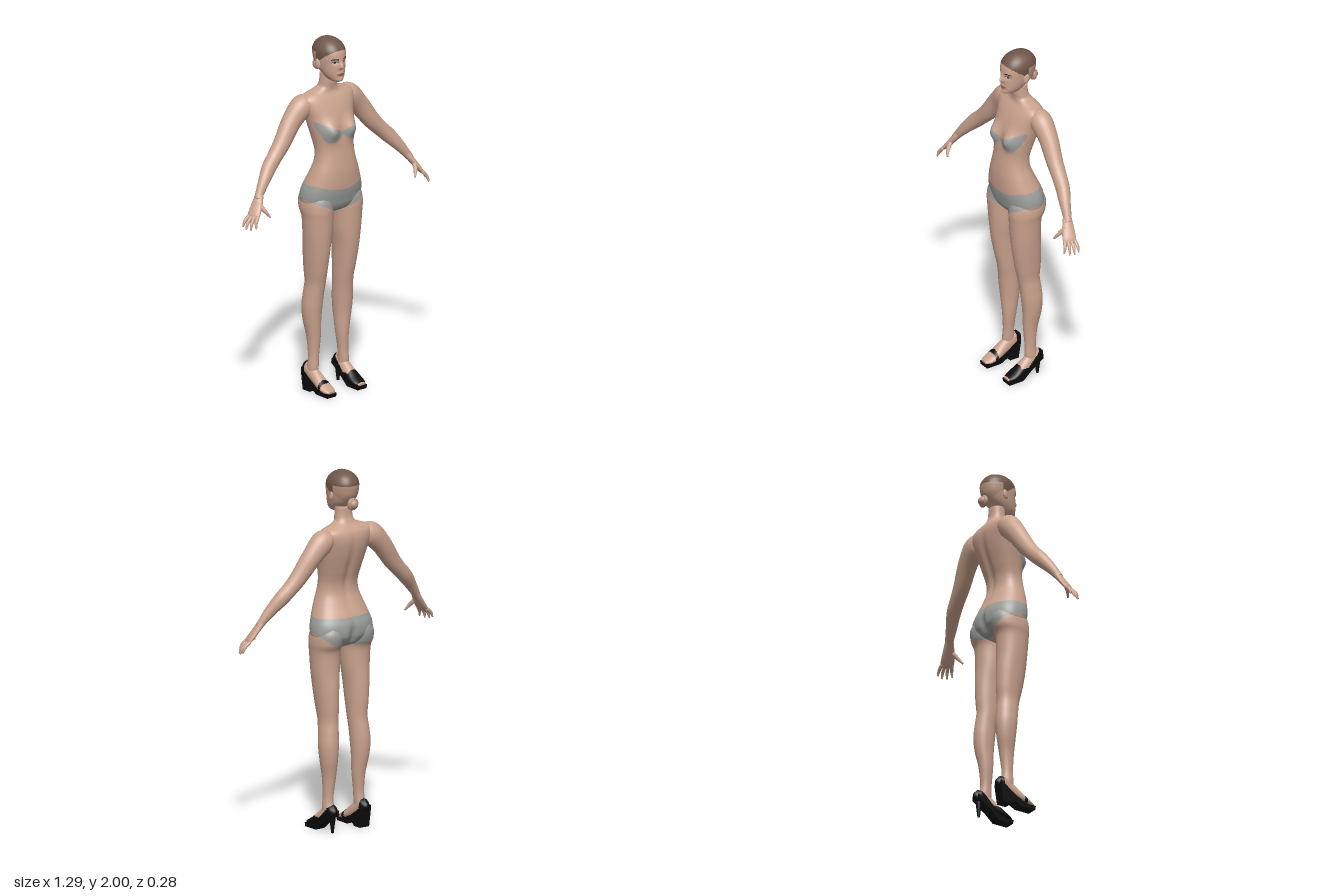
import * as THREE from 'three';

const mat = (name, color) => Object.assign(new THREE.MeshStandardMaterial({ color }), { name });
const SKIN = mat('skin', 0xcba38e), CLOTH = mat('greyCloth', 0x9b9e9b), HAIR = mat('hair', 0x70574a),
  PALE = mat('paleHair', 0xb8937f), BLACK = mat('blackShoe', 0x0c0c0c), WHITE = mat('eyeWhite', 0xd2c8c0),
  DARK = mat('irisAndBrow', 0x3a2c26), LIP = mat('lips', 0xa0655a);

const V = (x, y, z) => new THREE.Vector3(x, y, z);
const bell = (v, w) => Math.exp(-((v / w) ** 2));

// Smooth skin through rows of [x, y, z, radiusA, radiusB]; paint(p) picks the material of each face.
function loft(name, rows, { n = 24, steps = 40, side = V(1, 0, 0), axis, power = 2, warp, paint = () => SKIN } = {}) {
  const path = new THREE.CatmullRomCurve3(rows.map(r => V(r[0], r[1], r[2])), false, 'catmullrom');
  const size = new THREE.CatmullRomCurve3(rows.map(r => V(r[3], r[4], 0)), false, 'catmullrom');
  const pts = [], sp = v => Math.sign(v) * Math.abs(v) ** (2 / power);
  for (let i = 0; i <= steps; i++) {
    const c = path.getPoint(i / steps), s = size.getPoint(i / steps);
    const t = axis || path.getTangent(i / steps);
    const a = side.clone().addScaledVector(t, -side.dot(t)).normalize(), b = t.clone().cross(a);
    for (let j = 0; j < n; j++) {
      const q = j / n * Math.PI * 2;
      const p = c.clone().addScaledVector(a, sp(Math.cos(q)) * s.x).addScaledVector(b, sp(Math.sin(q)) * s.y);
      if (warp) warp(p);
      pts.push(p);
    }
  }
  pts.push(path.getPoint(0), path.getPoint(1));
  const buckets = new Map();
  const tri = (...f) => {
    const m = paint(V(0, 0, 0).add(pts[f[0]]).add(pts[f[1]]).add(pts[f[2]]).divideScalar(3));
    if (!buckets.has(m)) buckets.set(m, []);
    buckets.get(m).push(...f);
  };
  for (let j = 0; j < n; j++) {
    const k = (j + 1) % n, e = steps * n;
    for (let i = 0; i < e; i += n) {
      tri(i + j, i + k, i + n + k);
      tri(i + j, i + n + k, i + n + j);
    }
    tri(pts.length - 2, k, j);
    tri(pts.length - 1, e + j, e + k);
  }
  const g = new THREE.BufferGeometry().setFromPoints(pts), index = [];
  [...buckets.values()].forEach((f, i) => {
    g.addGroup(index.length, f.length, i);
    for (const v of f) index.push(v);
  });
  g.setIndex(index);
  g.computeVertexNormals();
  const mesh = new THREE.Mesh(g, [...buckets.keys()]);
  mesh.name = name;
  return mesh;
}

// Level cross-sections: [y, centreX, halfWidth, frontZ, backZ]
const level = rows => rows.map(([y, x, w, f, b]) => [x, y, (f + b) / 2, w, (f - b) / 2]);
const UP = V(0, 1, 0);

// Strapless top and briefs as regions of the body surface
function clothes(p) {
  const d = Math.abs(p.x);
  if (p.y > 1.4) {
    const low = d < 0.08 ? 1.432 + 0.04 * ((0.08 - d) / 0.08) ** 2 : 1.432 + 0.11 * ((d - 0.08) / 0.06) ** 2;
    return p.z > 0.02 && p.y > low && p.y < 1.485 + 0.5 * d ? CLOTH : SKIN;
  }
  const top = p.z > 0 ? 1.165 + 0.03 * Math.min(1, (d / 0.15) ** 2) : 1.195;
  const leg = p.z > 0 ? 1.035 + Math.max(0, d - 0.03) * 0.48 : 1.03 + 0.08 * (Math.max(0, d - 0.05) / 0.137) ** 2;
  return p.y < top && p.y > leg ? CLOTH : SKIN;
}

// Bust, spine groove and the cleft of the seat
function shapeTorso(p) {
  const d = Math.abs(p.x);
  if (p.z > 0) p.z += 0.036 * bell(d - 0.07, 0.042) * bell(p.y - 1.495, 0.05);
  else p.z += 0.024 * bell(d, 0.018) * bell(p.y - 1.09, 0.06) + 0.012 * bell(d, 0.022) * bell(p.y - 1.45, 0.16);
}

// Nose, eye sockets, lips and chin
function shapeFace(p) {
  if (p.z < 0.03) return;
  const d = Math.abs(p.x);
  p.z += 0.021 * bell(d, 0.012) * bell(p.y - 1.851, p.y > 1.851 ? 0.027 : 0.008)
    - 0.008 * bell(d - 0.032, 0.016) * bell(p.y - 1.878, 0.011)
    + 0.006 * bell(d, 0.02) * bell(p.y - 1.812, 0.009) + 0.004 * bell(d, 0.02) * bell(p.y - 1.78, 0.012);
}

function paintHead(p) {
  const d = Math.abs(p.x), { y, z } = p;
  const line = z > 0 ? 1.885 + z * 0.72 : z > -0.03 ? 1.885 : 1.885 + (z + 0.03) * 0.9;
  if (y > line) return z < -0.03 && y < 1.925 ? PALE : HAIR;
  if (z < 0.03) return SKIN;
  const e = d - 0.033, v = y - 1.877;
  if (e * e + v * v < 0.000036) return DARK;
  if ((e / 0.015) ** 2 + (v / 0.0055) ** 2 < 1) return WHITE;
  if ((e / 0.017) ** 2 + (v / 0.0085) ** 2 < 1 && v > 0) return DARK;
  if (Math.abs(d - 0.035) < 0.019 && Math.abs(y - 1.899 + 0.2 * Math.abs(e)) < 0.003) return DARK;
  if ((d / 0.025) ** 2 + ((y - 1.811) / 0.0085) ** 2 < 1) return LIP;
  return SKIN;
}

function makeHead() {
  const head = new THREE.Group();
  head.name = 'head';
  head.add(loft('face', level([
    [1.765, 0, 0.02, 0.075, 0.02], [1.775, 0, 0.037, 0.087, -0.02], [1.8, 0, 0.054, 0.088, -0.045],
    [1.83, 0, 0.066, 0.088, -0.08], [1.865, 0, 0.074, 0.088, -0.105], [1.9, 0, 0.079, 0.089, -0.114],
    [1.935, 0, 0.079, 0.083, -0.114], [1.965, 0, 0.066, 0.064, -0.098], [1.985, 0, 0.045, 0.038, -0.075],
    [1.996, 0, 0.022, 0.012, -0.045], [2, 0, 0.003, -0.01, -0.02],
  ]), { n: 140, steps: 110, axis: UP, power: 2.15, warp: shapeFace, paint: paintHead }));
  const add = (name, geo, m, ...pos) => {
    const mesh = new THREE.Mesh(geo, m);
    mesh.name = name;
    mesh.position.set(...pos);
    head.add(mesh);
    return mesh;
  };
  for (const s of [1, -1]) {
    const ear = add(s > 0 ? 'leftEar' : 'rightEar', new THREE.SphereGeometry(1, 16, 12), SKIN, s * 0.077, 1.862, -0.015);
    ear.scale.set(0.009, 0.028, 0.017);
    ear.rotation.set(-0.2, s * -0.3, 0);
  }
  add('bun', new THREE.SphereGeometry(0.026, 20, 14), PALE, 0, 1.825, -0.112);
  add('bunCoil', new THREE.TorusGeometry(0.023, 0.012, 12, 28), PALE, 0, 1.825, -0.106);
  return head;
}

function makeArm(s) {
  const arm = new THREE.Group(), label = s > 0 ? 'left' : 'right';
  arm.name = label + 'Arm';
  const flip = rows => rows.map(([x, ...r]) => [s * x, ...r]);
  const wide = V(s * -0.35, 0.05, 0.93).normalize();
  arm.add(loft(label + 'ArmSkin', flip([
    [0.1, 1.65, -0.045, 0.04, 0.035], [0.16, 1.628, -0.05, 0.06, 0.064], [0.235, 1.555, -0.05, 0.052, 0.057],
    [0.31, 1.456, -0.038, 0.045, 0.049], [0.365, 1.396, -0.03, 0.041, 0.043], [0.42, 1.342, -0.018, 0.038, 0.041],
    [0.475, 1.28, 0.004, 0.03, 0.032], [0.52, 1.222, 0.02, 0.023, 0.023], [0.535, 1.2, 0.027, 0.024, 0.02],
  ]), { side: V(0, 0, 1), steps: 60 }));
  arm.add(loft(label + 'Palm', flip([
    [0.51, 1.235, 0.016, 0.021, 0.021], [0.55, 1.175, 0.036, 0.033, 0.017],
    [0.582, 1.13, 0.05, 0.038, 0.014], [0.598, 1.107, 0.055, 0.033, 0.007],
  ]), { side: wide, steps: 20 }));
  [[0.642, 1.066, 0.028], [0.64, 1.056, 0.053], [0.628, 1.055, 0.078], [0.608, 1.063, 0.1]].forEach((t, i) => {
    const base = V(0.588, 1.122, 0.052).addScaledVector(V(-0.35, 0.05, 0.93), -0.028 + i * 0.0187);
    const mid = base.clone().lerp(V(...t), 0.55).add(V(0.006, 0.005, 0));
    arm.add(loft(label + 'Finger' + (i + 1), flip([
      [...base.toArray(), 0.01, 0.01], [...mid.toArray(), 0.009, 0.009], [...t, 0.004, 0.004],
    ]), { side: wide, n: 10, steps: 10 }));
  });
  arm.add(loft(label + 'Thumb', flip([
    [0.548, 1.182, 0.045, 0.014, 0.014], [0.53, 1.145, 0.08, 0.011, 0.011], [0.508, 1.11, 0.101, 0.005, 0.005],
  ]), { side: V(0, 0, 1), n: 10, steps: 12 }));
  return arm;
}

function makeLeg(s) {
  const leg = new THREE.Group(), label = s > 0 ? 'left' : 'right', x = s * 0.107;
  leg.name = label + 'Leg';
  leg.add(loft(label + 'LegSkin', level([
    [0.09, 0.107, 0.022, 0, -0.05], [0.13, 0.107, 0.028, 0.012, -0.058], [0.2, 0.103, 0.028, 0.01, -0.053],
    [0.3, 0.1, 0.036, 0.016, -0.065], [0.4, 0.106, 0.047, 0.022, -0.084], [0.48, 0.107, 0.053, 0.03, -0.09],
    [0.55, 0.103, 0.052, 0.038, -0.085], [0.62, 0.098, 0.051, 0.05, -0.078], [0.7, 0.1, 0.056, 0.068, -0.083],
    [0.8, 0.102, 0.064, 0.085, -0.083], [0.9, 0.101, 0.074, 0.095, -0.078], [1, 0.102, 0.079, 0.102, -0.082],
    [1.05, 0.103, 0.084, 0.105, -0.104], [1.1, 0.1, 0.083, 0.1, -0.112], [1.14, 0.095, 0.07, 0.085, -0.1],
  ].map(([y, c, ...r]) => [y, s * c, ...r])), { n: 48, steps: 120, axis: UP, power: 2.1, paint: clothes }));

  // Left: closed pump with an open toe. Right: sandal with a heel cup and toe straps.
  const pump = p => p.z > 0.132 || (p.z > -0.078 && p.z < 0.055 && p.y > 0.075 + Math.max(0, 0.01 - p.z)) ? SKIN : BLACK;
  const sandal = p => p.z < -0.06 || Math.abs(p.z - 0.075) < 0.009 ? BLACK : SKIN;
  leg.add(loft(label + 'Foot', [
    [x, 0.145, -0.086, 0.008, 0.02], [x, 0.128, -0.068, 0.029, 0.04], [x, 0.1, -0.025, 0.031, 0.043],
    [x, 0.075, 0.02, 0.034, 0.035], [x, 0.047, 0.07, 0.041, 0.025], [x, 0.032, 0.11, 0.038, 0.017],
    [x, 0.027, 0.138, 0.022, 0.009],
  ], { n: 40, steps: 60, paint: s > 0 ? pump : sandal }));

  // Sole seen from the side as [z, y]
  const top = [[0.136, 0], [0.141, 0.022], [0.07, 0.03], [0.02, 0.052], [-0.03, 0.085], [-0.084, 0.125]];
  const under = s > 0 ? [[-0.086, 0.1], [-0.055, 0.08], [0, 0.04], [0.045, 0]]
    : [[-0.086, 0.1], [-0.07, 0], [-0.015, 0], [0.005, 0.02], [0.045, 0]];
  const width = 0.062;
  const sole = new THREE.ExtrudeGeometry(new THREE.Shape([...top, ...under].map(q => new THREE.Vector2(...q))),
    { depth: width, bevelEnabled: false });
  sole.rotateY(-Math.PI / 2).translate(x + width / 2, 0, 0);
  const soleMesh = new THREE.Mesh(sole, BLACK);
  soleMesh.name = label + 'ShoeSole';
  leg.add(soleMesh);
  if (s > 0) {
    const heel = new THREE.Mesh(new THREE.CylinderGeometry(0.02, 0.007, 0.105, 16), BLACK);
    heel.name = 'leftStilettoHeel';
    heel.position.set(x, 0.0525, -0.066);
    leg.add(heel);
  }
  return leg;
}

export function createModel() {
  const model = new THREE.Group();
  model.name = 'standingFigure';
  model.add(loft('torso', level([
    [1.015, 0, 0.02, 0.03, -0.03], [1.04, 0, 0.1, 0.08, -0.08], [1.07, 0, 0.165, 0.1, -0.105],
    [1.1, 0, 0.186, 0.108, -0.117], [1.15, 0, 0.183, 0.118, -0.116], [1.2, 0, 0.167, 0.122, -0.097],
    [1.26, 0, 0.145, 0.122, -0.07], [1.32, 0, 0.124, 0.116, -0.05], [1.38, 0, 0.116, 0.108, -0.052],
    [1.45, 0, 0.125, 0.1, -0.075], [1.52, 0, 0.138, 0.09, -0.098], [1.58, 0, 0.15, 0.074, -0.113],
    [1.63, 0, 0.166, 0.054, -0.118], [1.665, 0, 0.172, 0.035, -0.112], [1.685, 0, 0.15, 0.022, -0.1],
    [1.7, 0, 0.105, 0.016, -0.088], [1.72, 0, 0.06, 0.016, -0.075], [1.75, 0, 0.05, 0.02, -0.064],
    [1.8, 0, 0.047, 0.022, -0.062],
  ]), { n: 110, steps: 160, axis: UP, power: 2.3, warp: shapeTorso, paint: clothes }));
  model.add(makeHead());
  for (const s of [1, -1]) model.add(makeArm(s), makeLeg(s));
  return model;
}
